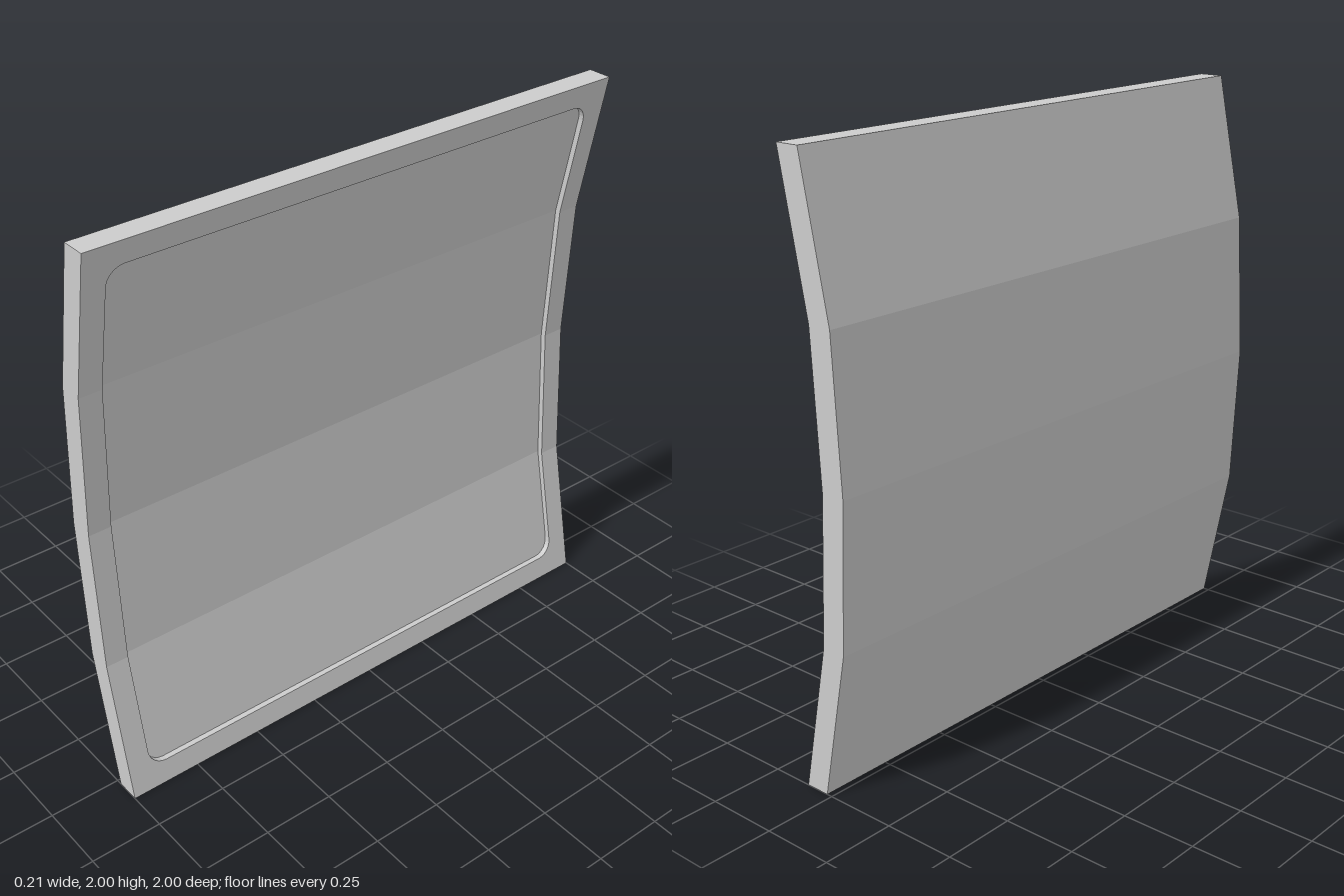
import * as THREE from 'three';

// Half of the bowed side profile: [y, x of the convex back]
const BOW = [[0, 0.02], [0.5, -0.08], [1, -0.106], [1.5, -0.08], [2, 0.02]];
const THICK = 0.086, DEPTH = 0.02, INSET = 0.08, RADIUS = 0.06, STEPS = 6;

function backX(y) {
  const i = Math.min(3, Math.floor(y / 0.5));
  const [y0, x0] = BOW[i], [y1, x1] = BOW[i + 1];
  return x0 + (x1 - x0) * (y - y0) / (y1 - y0);
}

// Horizontal section at height y: outer rectangle with a notch of half width w
function section(y, w, depth) {
  const b = backX(y), f = b + THICK, r = f - depth;
  return [[b, 1], [b, -1], [f, -1], [f, -w], [r, -w], [r, w], [f, w], [f, 1]]
    .map(([x, z]) => new THREE.Vector3(x, y, z));
}

export function createModel() {
  // Levels [y, recess half width, recess depth], lower half then mirrored
  const inner = 1 - INSET - RADIUS;
  const lower = [[0, inner, 0], [INSET, inner, 0]];
  for (let i = 0; i <= STEPS; i++) {
    const t = (i / STEPS) * Math.PI / 2;
    lower.push([INSET + RADIUS * (1 - Math.cos(t)), inner + RADIUS * Math.sin(t), DEPTH]);
  }
  lower.push([0.5, 1 - INSET, DEPTH]);
  const upper = lower.map(([y, w, d]) => [2 - y, w, d]).reverse();
  const rows = [...lower, [1, 1 - INSET, DEPTH], ...upper].map((l) => section(...l));

  const pos = [];
  const tri = (a, b, c) => {
    if (new THREE.Triangle(a, b, c).getArea() < 1e-8) return;
    for (const p of [a, b, c]) pos.push(p.x, p.y, p.z);
  };
  const quad = (a, b, c, d) => { tri(a, b, c); tri(a, c, d); };

  // Skin between neighbouring sections
  for (let i = 0; i < rows.length - 1; i++) {
    const lo = rows[i], up = rows[i + 1];
    for (let j = 0; j < lo.length; j++) {
      const k = (j + 1) % lo.length;
      quad(lo[j], up[j], up[k], lo[k]);
    }
  }
  // Bottom and top edges
  const first = rows[0], last = rows[rows.length - 1];
  quad(first[0], first[1], first[2], first[7]);
  quad(last[7], last[2], last[1], last[0]);

  const geometry = new THREE.BufferGeometry();
  geometry.setAttribute('position', new THREE.Float32BufferAttribute(pos, 3));
  geometry.computeVertexNormals();

  const panel = new THREE.Mesh(geometry, new THREE.MeshStandardMaterial({ color: 0xcccccc, flatShading: true }));
  panel.name = 'bowedPanel';
  const group = new THREE.Group();
  group.name = 'recessedPanel';
  group.add(panel);
  return group;
}
